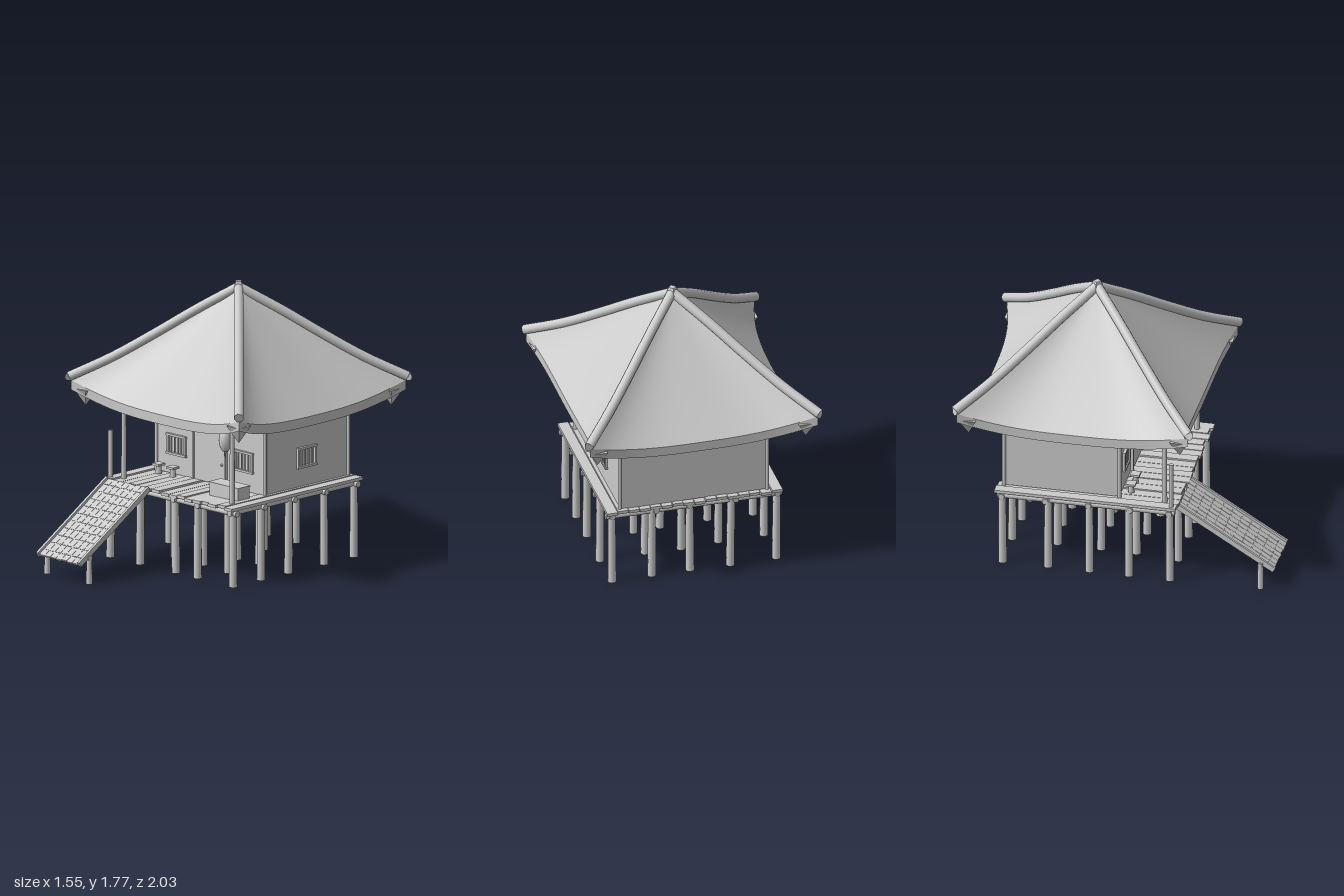
import * as THREE from 'three';

const mat = new THREE.MeshStandardMaterial({ color: 0xcccccc, side: THREE.DoubleSide });
const flat = new THREE.MeshStandardMaterial({ color: 0xcccccc, flatShading: true });

let seed = 7;
const rnd = (a) => { seed = (seed * 16807) % 2147483647; return (seed / 2147483647 * 2 - 1) * a; };
const V = (x, y, z) => new THREE.Vector3(x, y, z);

function add(parent, name, geo, x = 0, y = 0, z = 0, m = mat) {
  const mesh = new THREE.Mesh(geo, m);
  mesh.name = name;
  mesh.position.set(x, y, z);
  parent.add(mesh);
  return mesh;
}
const box = (p, name, w, h, d, x, y, z) => add(p, name, new THREE.BoxGeometry(w, h, d), x, y, z, flat);

// Round pole between two points
function pole(p, name, a, b, r0, r1 = r0, sides = 10) {
  const m = add(p, name, new THREE.CylinderGeometry(r1, r0, a.distanceTo(b), sides));
  m.position.copy(a).lerp(b, 0.5);
  m.quaternion.setFromUnitVectors(V(0, 1, 0), b.clone().sub(a).normalize());
  return m;
}

function group(parent, name, x = 0, y = 0, z = 0) {
  const g = new THREE.Group();
  g.name = name;
  g.position.set(x, y, z);
  parent.add(g);
  return g;
}

// Curved roof side: u runs along the eave, v from apex to eave
function roofPoint(u, v, drop) {
  const a = Math.abs(u);
  const eaveY = 1.028 + 0.105 * a ** 3, out = 0.675 + 0.065 * a ** 4;
  return V(u * 0.74 * v, 1.745 + (eaveY - 1.745) * v - 0.07 * v * (1 - v) - drop, out * v);
}
function roofSheet(nu, nv, rule) {
  const g = new THREE.PlaneGeometry(2, 1, nu, nv), p = g.attributes.position;
  for (let i = 0; i < p.count; i++) {
    const q = rule(p.getX(i), 0.5 - p.getY(i));
    p.setXYZ(i, q.x, q.y, q.z);
  }
  g.computeVertexNormals();
  return g;
}

function buildRoof(root) {
  const roof = group(root, 'roof', 0, 0, -0.25);
  const top = roofSheet(20, 12, (u, v) => roofPoint(u, v, 0));
  const under = roofSheet(20, 12, (u, v) => roofPoint(u, v, 0.062));
  const edge = roofSheet(20, 1, (u, v) => roofPoint(u, 1, 0.062 * v));
  for (let k = 0; k < 4; k++) {
    const side = group(roof, 'roofSide');
    side.rotation.y = k * Math.PI / 2;
    add(side, 'roofSlope', top);
    add(side, 'roofUnderside', under);
    add(side, 'eaveBoard', edge);
    // Hip ridge pole on each corner
    const pts = [V(0, 1.735, 0)];
    for (const v of [0.25, 0.5, 0.75, 1]) pts.push(roofPoint(1, v, -0.012));
    pts[4].add(V(0.008, 0.012, 0.008));
    const curve = new THREE.CatmullRomCurve3(pts);
    add(side, 'hipRidge', new THREE.TubeGeometry(curve, 16, 0.031, 10));
    const cap = add(side, 'ridgeEnd', new THREE.CircleGeometry(0.031, 10));
    cap.position.copy(pts[4]);
    cap.lookAt(pts[4].clone().add(curve.getTangent(1)));
    // Pointed corner block under the eave
    const block = new THREE.ConeGeometry(0.078, 0.11, 4).rotateY(Math.PI / 4).rotateX(Math.PI);
    add(side, 'cornerBlock', block, 0.675, 1.025, 0.675, flat);
  }
  const peak = new THREE.CylinderGeometry(0.025, 0.045, 0.05, 4);
  add(roof, 'roofPeak', peak, 0, 1.747, 0, flat);
}

function buildPlatform(root) {
  const g = group(root, 'platform');
  const xs = [-0.54, -0.27, 0.03, 0.245, 0.53], zs = [0.33, 0.08, -0.185, -0.46, -0.74];
  xs.forEach((x, i) => zs.forEach((z, j) => {
    const jx = i % 4 ? rnd(0.03) : 0, jz = j % 4 ? rnd(0.025) : 0;
    pole(g, 'stilt', V(x + jx + rnd(0.008), 0, z + jz + rnd(0.005)), V(x + jx, 0.49, z + jz), 0.027, 0.024);
  }));
  xs.forEach((x) => pole(g, 'longBeam', V(x, 0.478, 0.365), V(x, 0.478, -0.77), 0.02));
  zs.forEach((z) => pole(g, 'crossBeam', V(-0.57, 0.474, z), V(0.57, 0.474, z), 0.02));
  // Floor planks run front to back
  const n = 16, w = 1.14 / n;
  for (let i = 0; i < n; i++) {
    box(g, 'floorPlank', w - 0.004, 0.02, 1.15 + rnd(0.012), -0.57 + w * (i + 0.5), 0.504 + rnd(0.006), -0.203 + rnd(0.006));
  }
}

function buildWindow(parent, x, y, z, turn) {
  const g = group(parent, 'window', x, y, z);
  g.rotation.y = turn;
  for (const s of [-1, 1]) {
    box(g, 'frameSide', 0.014, 0.125, 0.022, s * 0.075, 0, 0);
    box(g, 'frameRail', 0.17, 0.014, 0.026, 0, s * 0.06, 0);
  }
  for (let i = 0; i < 4; i++) pole(g, 'windowBar', V(-0.045 + i * 0.03, -0.06, 0.004), V(-0.045 + i * 0.03, 0.06, 0.004), 0.005, 0.005, 6);
}

function buildHouse(root) {
  const g = group(root, 'house');
  box(g, 'walls', 0.95, 0.5, 0.74, 0, 0.765, -0.375);
  for (const x of [-0.478, 0.478]) {
    for (const z of [-0.004, -0.742]) pole(g, 'cornerPost', V(x, 0.51, z), V(x, 1.03, z), 0.012);
    pole(g, 'verandaPost', V(x, 0.51, 0.285), V(x, 1.03, 0.285), 0.017, 0.015);
    pole(g, 'sideBeam', V(x, 1.015, -0.79), V(x, 1.015, 0.33), 0.019);
  }
  for (const z of [-0.742, -0.004, 0.285]) pole(g, 'wallBeam', V(-0.52, 1.035, z), V(0.52, 1.035, z), 0.019);
  // Ceiling poles with ends showing above the back wall
  for (let i = 0; i < 22; i++) {
    const x = -0.452 + i * 0.043;
    pole(g, 'ceilingPole', V(x, 1.015, -0.765), V(x, 1.015, 0.015), 0.018, 0.018, 8);
  }
  // Door
  box(g, 'door', 0.27, 0.395, 0.012, 0, 0.715, -0.002);
  for (const s of [-1, 1]) box(g, 'doorJamb', 0.014, 0.4, 0.022, s * 0.14, 0.715, 0.002);
  box(g, 'doorLintel', 0.305, 0.016, 0.024, 0, 0.915, 0.002);
  add(g, 'doorHandle', new THREE.SphereGeometry(0.008, 8, 6), 0.11, 0.65, 0.008);
  // Windows
  buildWindow(g, -0.295, 0.705, 0, 0);
  buildWindow(g, 0.295, 0.705, 0, 0);
  buildWindow(g, 0.48, 0.705, -0.37, Math.PI / 2);
}

function buildRamp(root) {
  const a = V(-0.345, 0.515, 0.38), b = V(-0.345, 0.135, 0.995);
  const len = a.distanceTo(b);
  const g = group(root, 'ramp');
  g.position.copy(a).lerp(b, 0.5);
  g.rotation.x = Math.atan2(a.y - b.y, b.z - a.z);
  for (let i = 0; i < 7; i++) box(g, 'rampPlank', 0.046, 0.014, len + rnd(0.008), (i - 3) * 0.0485, 0, 0);
  for (const s of [-1, 1]) box(g, 'rampRail', 0.018, 0.034, len, s * 0.182, 0.003, 0);
  // Cleat rows across the planks
  for (let r = 0; r < 10; r++) {
    for (let i = 0; i < 7; i++) box(g, 'cleat', 0.026, 0.004, 0.005, (i - 3) * 0.0485, 0.008, (r - 4.5) * len / 10.5);
  }
  for (const x of [-0.53, -0.16]) {
    pole(root, 'rampPost', V(x, 0, 0.91), V(x, 0.18, 0.91), 0.02, 0.018);
    pole(root, 'rampPeg', V(x - 0.012, 0.165, 0.91), V(x + 0.012, 0.165, 0.91), 0.018);
  }
}

function buildVeranda(root) {
  const g = group(root, 'verandaItems');
  pole(g, 'mooringPost', V(-0.54, 0.46, 0.34), V(-0.54, 0.82, 0.34), 0.015);
  // Bench chest
  box(g, 'chest', 0.25, 0.08, 0.105, 0.335, 0.553, 0.165);
  box(g, 'chestLid', 0.26, 0.008, 0.112, 0.335, 0.597, 0.165);
  // Stools
  for (const x of [-0.4, -0.275]) {
    const s = group(g, 'stool', x, 0.515, 0.055);
    add(s, 'stoolLeg', new THREE.CylinderGeometry(0.016, 0.02, 0.055, 8), 0, 0.027, 0);
    box(s, 'stoolSeat', 0.06, 0.014, 0.06, 0, 0.059, 0);
  }
  // Hanging lantern
  const lan = group(g, 'lantern', 0.417, 0.915, 0.285);
  const body = [[0, -0.07], [0.018, -0.068], [0.034, -0.045], [0.042, 0], [0.034, 0.045], [0.018, 0.068], [0, 0.07]];
  add(lan, 'lanternBody', new THREE.LatheGeometry(body.map(([x, y]) => new THREE.Vector2(x, y)), 14));
  pole(lan, 'lanternCord', V(0, 0.06, 0), V(0, 0.12, 0), 0.004, 0.004, 6);
  pole(lan, 'lanternTassel', V(0, -0.115, 0), V(0, -0.068, 0), 0.002, 0.008, 6);
}

export function createModel() {
  const root = new THREE.Group();
  root.name = 'stiltHouse';
  seed = 7;
  buildRoof(root);
  buildPlatform(root);
  buildHouse(root);
  buildRamp(root);
  buildVeranda(root);
  return root;
}
